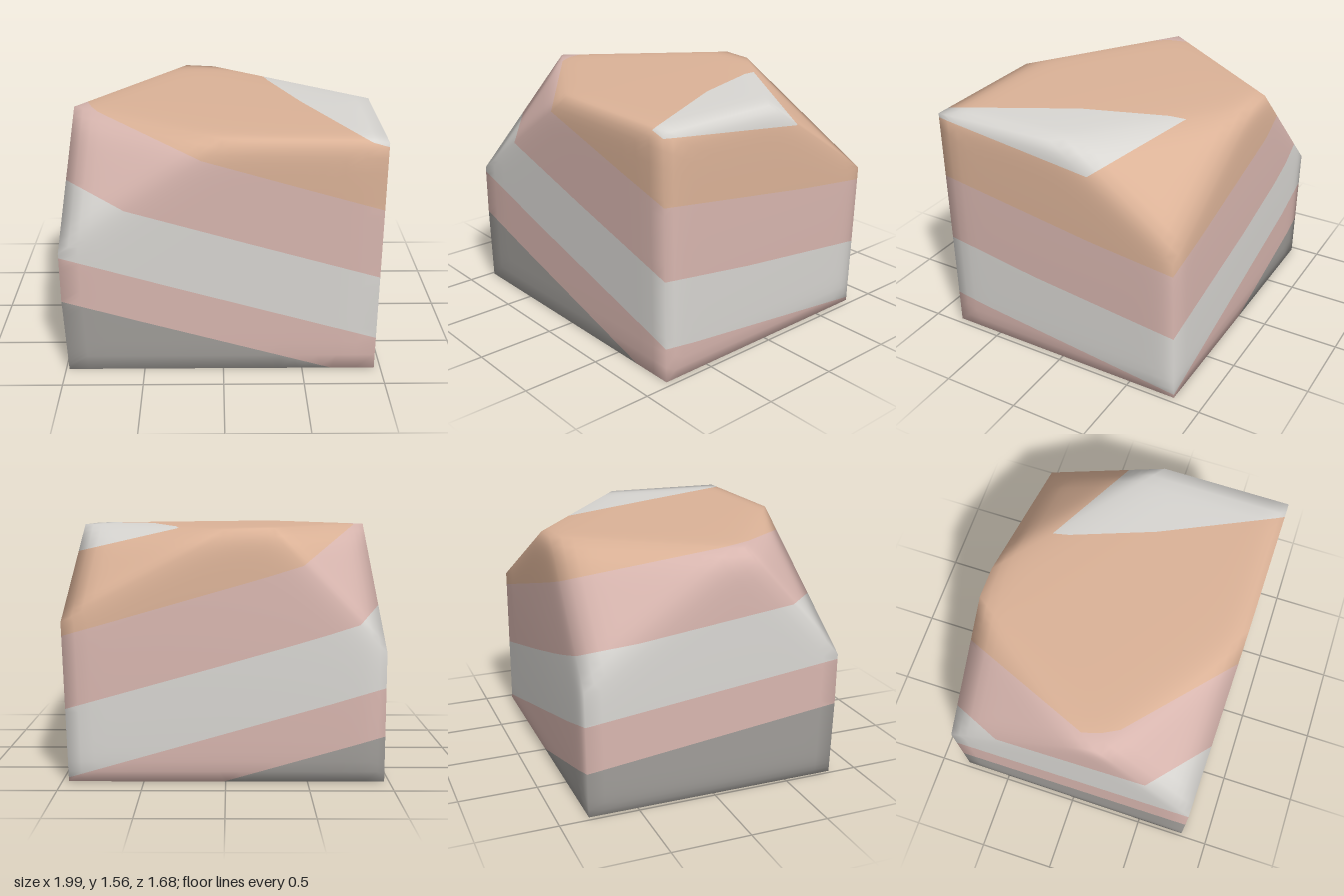
import * as THREE from 'three';
import { ConvexGeometry } from 'three/addons/geometries/ConvexGeometry.js';

const V = (x, y, z) => new THREE.Vector3(x, y, z);

// Corners of the boulder: a block with three of its top corners broken off
const corners = [
  [0.96, 0, 0.82], [0.96, 0, -0.81], [-0.97, 0, -0.81], [-0.98, 0, 0.82],
  [0.955, 1.53, 0.84], [0.95, 1.54, 0.02], [0.99, 0.95, -0.25], [0.99, 0.98, -0.8],
  [-0.05, 1.53, -0.79], [-0.25, 1.54, -0.79], [-0.3, 1, -0.845], [-0.97, 0.8, -0.82],
  [-0.94, 1.54, 0.18], [-1, 0.82, 0.82], [-1, 0.5, 0.82], [0.05, 1.54, 0.83],
  [-0.3, 1.56, 0.25],
].map((p) => V(...p));

// Height measured across the tilted rock layers
const level = (p) => p.y + 0.29 * p.x - 0.12 * p.z;

// Keep the part of a polygon above (sign 1) or below (sign -1) a layer boundary
function clip(poly, limit, sign) {
  const out = [];
  poly.forEach((a, i) => {
    const b = poly[(i + 1) % poly.length];
    const da = (level(a) - limit) * sign, db = (level(b) - limit) * sign;
    if (da >= 0) out.push(a);
    if (da * db < 0) out.push(a.clone().lerp(b, da / (da - db)));
  });
  return out;
}

// Split a triangle into four, several times over
function subdivide([a, b, c], depth, out) {
  if (depth === 0) { out.push([a, b, c]); return; }
  const mid = (p, q) => p.clone().add(q).multiplyScalar(0.5);
  const ab = mid(a, b), bc = mid(b, c), ca = mid(c, a);
  for (const t of [[a, ab, ca], [ab, b, bc], [ca, bc, c], [ab, bc, ca]]) subdivide(t, depth - 1, out);
}

export function createModel() {
  const group = new THREE.Group();
  group.name = 'layeredBoulder';

  const material = (name, color) => {
    const m = new THREE.MeshStandardMaterial({ color });
    m.name = name;
    return m;
  };
  const darkGrey = material('darkGreyStone', 0xa09d99);
  const pink = material('pinkStone', 0xd8b6af);
  const paleGrey = material('paleGreyStone', 0xd8d6d2);
  const orange = material('orangeStone', 0xdbb297);

  // Hull faces and their planes
  const hull = new ConvexGeometry(corners).getAttribute('position');
  const planes = [], triangles = [];
  for (let i = 0; i < hull.count; i += 3) {
    const t = [0, 1, 2].map((k) => new THREE.Vector3().fromBufferAttribute(hull, i + k));
    planes.push(new THREE.Plane().setFromCoplanarPoints(...t));
    subdivide(t, 4, triangles);
  }

  // Soft normal: nearby faces blend into each other, so edges look worn
  const softNormal = (p) => {
    const n = V(0, 0, 0);
    for (const pl of planes) n.addScaledVector(pl.normal, Math.exp(pl.distanceToPoint(p) / 0.045));
    return n.normalize();
  };

  // Rock layers from the bottom up: name, lower and upper boundary, colour
  const layers = [
    ['baseLayer', -9, 0.1, darkGrey],
    ['lowerPinkLayer', 0.1, 0.4, pink],
    ['middleGreyLayer', 0.4, 0.83, paleGrey],
    ['upperPinkLayer', 0.83, 1.28, pink],
    ['orangeLayer', 1.28, 1.68, orange],
    ['capLayer', 1.68, 9, paleGrey],
  ];
  for (const [name, low, high, mat] of layers) {
    const position = [], normal = [];
    for (const t of triangles) {
      const poly = clip(clip(t, low, 1), high, -1);
      for (let k = 1; k < poly.length - 1; k++) {
        for (const p of [poly[0], poly[k], poly[k + 1]]) {
          position.push(p.x, p.y, p.z);
          normal.push(...softNormal(p).toArray());
        }
      }
    }
    const geo = new THREE.BufferGeometry();
    geo.setAttribute('position', new THREE.Float32BufferAttribute(position, 3));
    geo.setAttribute('normal', new THREE.Float32BufferAttribute(normal, 3));
    const mesh = new THREE.Mesh(geo, mat);
    mesh.name = name;
    group.add(mesh);
  }
  return group;
}
